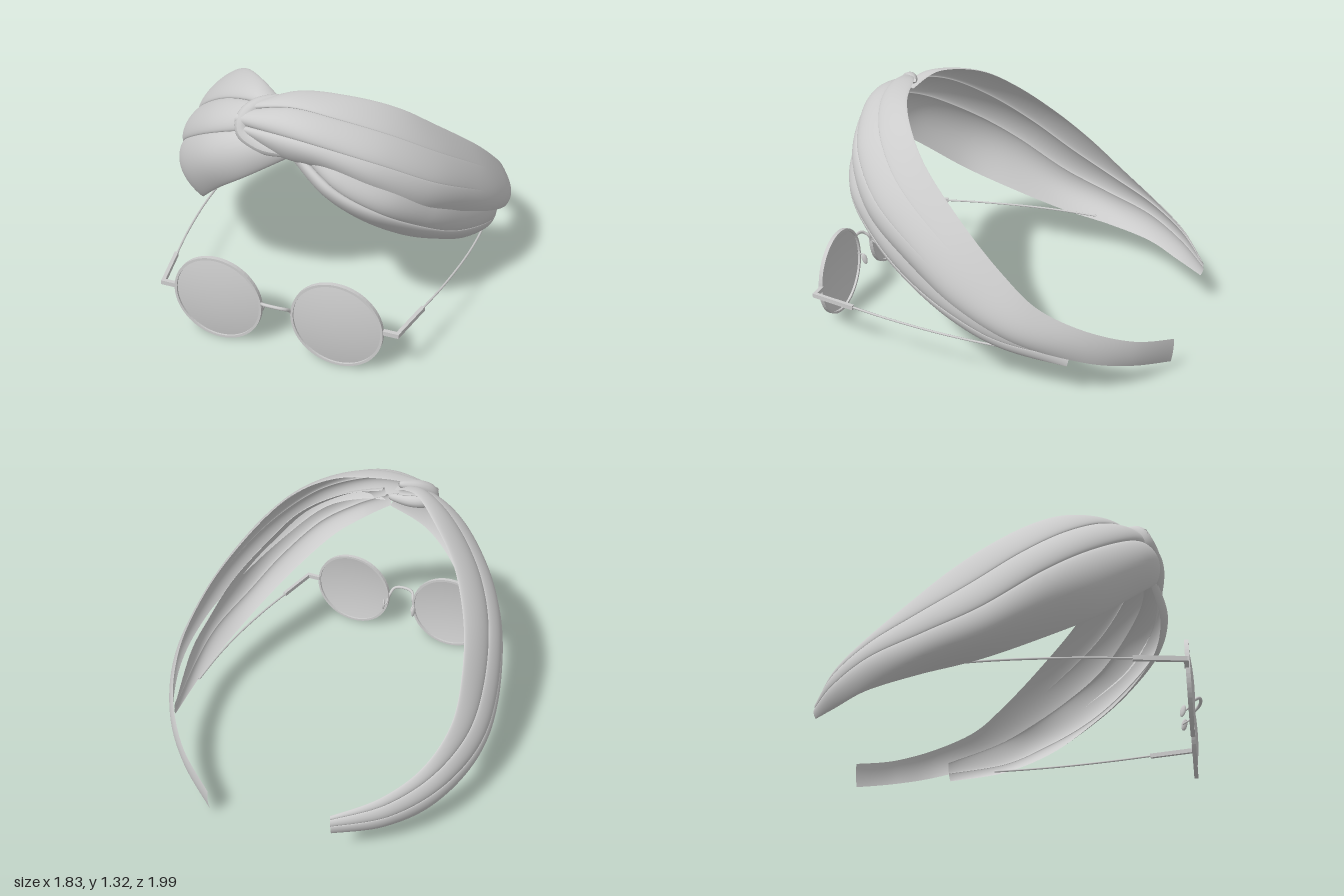
import * as THREE from 'three';

const mat = new THREE.MeshStandardMaterial({ color: 0xcccccc, side: THREE.DoubleSide });
const vec = (p) => new THREE.Vector3(...p);
const path = (pts) => new THREE.CatmullRomCurve3(pts.map(vec), false, 'centripetal');

function add(parent, name, geometry) {
  const mesh = new THREE.Mesh(geometry, mat);
  mesh.name = name;
  parent.add(mesh);
  return mesh;
}

// Uniform spline through a guide line, so three guides stay in step
function guidePoint(pts, t) {
  const n = pts.length - 1, i = Math.min(Math.floor(t * n), n - 1), w = t * n - i;
  const [a, b, c, d] = [-1, 0, 1, 2].map((k) => pts[Math.max(0, Math.min(n, i + k))]);
  return new THREE.Vector3(...[0, 1, 2].map((k) => b[k] + 0.5 * w * (c[k] - a[k]
    + w * (2 * a[k] - 5 * b[k] + 4 * c[k] - d[k] + w * (3 * (b[k] - c[k]) + d[k] - a[k])))));
}

// Cloth strip lofted between a top, middle and bottom guide line.
// Pillowed folds lie between the creases and flatten out along the strip.
function clothBand(sections, creases, amp, wander, falloff) {
  const guides = [0, 1, 2].map((k) => sections.map((s) => s[k]));
  const NV = 110, SEG = 24, NU = SEG * (creases.length + 1), pos = [], index = [];
  for (let j = 0; j <= NV; j++) {
    const v = j / NV;
    const [T, M, B] = guides.map((g) => guidePoint(g, v));
    const C = M.clone().multiplyScalar(2).addScaledVector(T, -0.5).addScaledVector(B, -0.5);
    const edges = [0, ...creases.map((c, k) => c + wander * Math.sin(v * 5 + k * 2)), 1];
    const fade = Math.max(0, 1 - falloff * v);
    for (let i = 0; i <= NU; i++) {
      const k = Math.min(Math.floor(i / SEG), creases.length);
      const s = (1 - Math.cos(Math.PI * (i - k * SEG) / SEG)) / 2;
      const u = THREE.MathUtils.lerp(edges[k], edges[k + 1], s);
      const p = T.clone().multiplyScalar((1 - u) ** 2)
        .addScaledVector(C, 2 * u * (1 - u)).addScaledVector(B, u * u);
      const fold = Math.sqrt(Math.sin(Math.PI * s) + 1e-6) - 0.7;
      const out = new THREE.Vector3(p.x, 0.35, p.z).normalize();
      p.addScaledVector(out, amp * fade * fold);
      pos.push(p.x, p.y, p.z);
      if (i < NU && j < NV) {
        const a = j * (NU + 1) + i, b = a + NU + 1;
        index.push(a, a + 1, b, b, a + 1, b + 1);
      }
    }
  }
  const geo = new THREE.BufferGeometry();
  geo.setAttribute('position', new THREE.Float32BufferAttribute(pos, 3));
  geo.setIndex(index);
  geo.computeVertexNormals();
  return geo;
}

// Tube that thins toward both ends
function taperedTube(pts, radius) {
  const curve = path(pts), N = 40, R = 14;
  const geo = new THREE.TubeGeometry(curve, N, radius, R, false);
  const p = geo.attributes.position;
  for (let i = 0; i <= N; i++) {
    const c = curve.getPointAt(i / N), k = 0.25 + 0.75 * Math.sqrt(Math.sin(Math.PI * i / N) + 1e-6);
    for (let j = 0; j <= R; j++) {
      const q = new THREE.Vector3().fromBufferAttribute(p, i * (R + 1) + j).sub(c).multiplyScalar(k).add(c);
      p.setXYZ(i * (R + 1) + j, q.x, q.y, q.z);
    }
  }
  geo.computeVertexNormals();
  return geo;
}

function buildHeadband() {
  const band = new THREE.Group();
  band.name = 'headband';

  // each row: top, middle, bottom point, from the knot to the back
  add(band, 'rightBand', clothBand([
    [[-0.06, 1.25, 0.64], [-0.04, 1.16, 0.74], [0.02, 1.05, 0.78]],
    [[-0.22, 1.31, 0.54], [-0.23, 1.15, 0.77], [-0.20, 0.92, 0.82]],
    [[-0.40, 1.27, 0.36], [-0.46, 1.05, 0.70], [-0.41, 0.76, 0.73]],
    [[-0.57, 1.14, 0.20], [-0.69, 0.87, 0.51], [-0.60, 0.56, 0.54]],
    [[-0.70, 0.96, 0.00], [-0.83, 0.69, 0.29], [-0.71, 0.41, 0.28]],
    [[-0.77, 0.78, -0.20], [-0.91, 0.48, 0.00], [-0.80, 0.27, -0.03]],
    [[-0.79, 0.60, -0.40], [-0.91, 0.37, -0.28], [-0.82, 0.20, -0.33]],
    [[-0.72, 0.46, -0.62], [-0.81, 0.31, -0.58], [-0.75, 0.165, -0.60]],
    [[-0.57, 0.37, -0.82], [-0.62, 0.26, -0.82], [-0.58, 0.155, -0.81]],
    [[-0.36, 0.30, -0.97], [-0.37, 0.25, -0.99], [-0.37, 0.19, -0.98]],
  ], [0.2, 0.5], 0.034, 0.03, 0.85));

  add(band, 'leftUpperBand', clothBand([
    [[-0.20, 1.27, 0.70], [-0.26, 1.20, 0.77], [-0.22, 1.13, 0.77]],
    [[0.00, 1.32, 0.60], [0.00, 1.23, 0.81], [-0.02, 1.06, 0.81]],
    [[0.25, 1.30, 0.53], [0.22, 1.19, 0.79], [0.20, 1.03, 0.80]],
    [[0.45, 1.22, 0.42], [0.47, 1.09, 0.69], [0.43, 0.94, 0.75]],
    [[0.60, 1.08, 0.27], [0.68, 0.93, 0.50], [0.62, 0.78, 0.59]],
    [[0.74, 0.87, 0.02], [0.82, 0.75, 0.22], [0.77, 0.63, 0.31]],
    [[0.81, 0.68, -0.20], [0.89, 0.58, -0.05], [0.87, 0.49, 0.03]],
    [[0.82, 0.53, -0.38], [0.89, 0.43, -0.32], [0.88, 0.35, -0.28]],
    [[0.74, 0.40, -0.60], [0.77, 0.32, -0.60], [0.76, 0.23, -0.60]],
    [[0.57, 0.28, -0.81], [0.585, 0.21, -0.81], [0.58, 0.14, -0.80]],
    [[0.34, 0.19, -0.97], [0.345, 0.12, -0.97], [0.34, 0.05, -0.96]],
  ], [0.22, 0.62], 0.026, 0.04, 1.9));

  add(band, 'leftLowerBand', clothBand([
    [[0.06, 1.16, 0.74], [0.06, 1.11, 0.78], [0.02, 1.05, 0.78]],
    [[0.31, 1.08, 0.72], [0.28, 0.98, 0.83], [0.20, 0.90, 0.82]],
    [[0.53, 0.97, 0.60], [0.50, 0.85, 0.75], [0.38, 0.76, 0.76]],
    [[0.68, 0.81, 0.42], [0.66, 0.69, 0.55], [0.54, 0.60, 0.58]],
    [[0.78, 0.67, 0.19], [0.76, 0.54, 0.32], [0.66, 0.46, 0.35]],
    [[0.82, 0.54, -0.04], [0.835, 0.42, 0.05], [0.75, 0.335, 0.10]],
    [[0.83, 0.44, -0.24], [0.84, 0.32, -0.20], [0.80, 0.25, -0.19]],
    [[0.77, 0.32, -0.53], [0.785, 0.26, -0.53], [0.79, 0.21, -0.52]],
  ], [0.58], 0.03, 0.06, 0.9));

  // rolled cloth loop where the strips cross
  add(band, 'knotLoop', taperedTube([
    [0.04, 1.08, 0.79], [-0.12, 1.09, 0.785], [-0.22, 1.14, 0.765], [-0.225, 1.20, 0.74],
    [-0.18, 1.25, 0.69], [-0.08, 1.28, 0.62],
  ], 0.042));
  return band;
}

function buildGlasses() {
  const glasses = new THREE.Group();
  glasses.name = 'glasses';

  // shallow domed lens profile
  const dome = [];
  for (let i = 0; i <= 10; i++) dome.push(new THREE.Vector2(0.236 * i / 10, 0.024 * (1 - (i / 10) ** 2)));
  // flat-sided rim profile
  const rim = [[0.230, -0.011], [0.243, -0.011], [0.243, 0.011], [0.230, 0.011], [0.230, -0.011]]
    .map((p) => new THREE.Vector2(...p));

  for (const side of [1, -1]) {
    const name = side > 0 ? 'left' : 'right';
    const m = (x, y, z) => [side * x, y, z];

    const lens = add(glasses, name + 'Lens', new THREE.LatheGeometry(dome, 64));
    const ring = add(glasses, name + 'Rim', new THREE.LatheGeometry(rim, 64).toNonIndexed());
    ring.geometry.computeVertexNormals();
    for (const part of [lens, ring]) {
      part.rotation.x = Math.PI / 2;
      part.position.set(side * 0.322, 0.245, 0.943);
    }

    // hinge block and arm
    add(glasses, name + 'EndPiece', new THREE.BoxGeometry(0.09, 0.024, 0.022)).position.set(side * 0.6, 0.262, 0.938);
    const sleeve = add(glasses, name + 'ArmSleeve', new THREE.BoxGeometry(0.02, 0.024, 0.26));
    sleeve.position.set(side * 0.662, 0.262, 0.815);
    sleeve.rotation.y = -side * 0.21;
    add(glasses, name + 'Arm', new THREE.TubeGeometry(path([
      m(0.685, 0.262, 0.7), m(0.73, 0.261, 0.48), m(0.77, 0.259, 0.2), m(0.785, 0.257, -0.02), m(0.785, 0.254, -0.25),
    ]), 40, 0.006, 8));

    // nose pad on a thin hooked wire
    add(glasses, name + 'PadWire', new THREE.TubeGeometry(path([
      m(0.09, 0.24, 0.94), m(0.083, 0.225, 0.915), m(0.09, 0.215, 0.895), m(0.1, 0.215, 0.895),
    ]), 16, 0.005, 8));
    const pad = add(glasses, name + 'NosePad', new THREE.SphereGeometry(1, 16, 12));
    pad.scale.set(0.009, 0.034, 0.016);
    pad.position.set(side * 0.1, 0.215, 0.9);
    pad.rotation.set(0.25, side * 0.4, 0);
  }

  add(glasses, 'bridge', new THREE.TubeGeometry(path([
    [-0.088, 0.235, 0.943], [-0.076, 0.27, 0.95], [-0.062, 0.295, 0.978], [-0.035, 0.304, 0.991],
    [0.035, 0.304, 0.991], [0.062, 0.295, 0.978], [0.076, 0.27, 0.95], [0.088, 0.235, 0.943],
  ]), 48, 0.009, 10));
  return glasses;
}

export function createModel() {
  const model = new THREE.Group();
  model.name = 'headbandAndGlasses';
  model.add(buildHeadband(), buildGlasses());
  return model;
}
